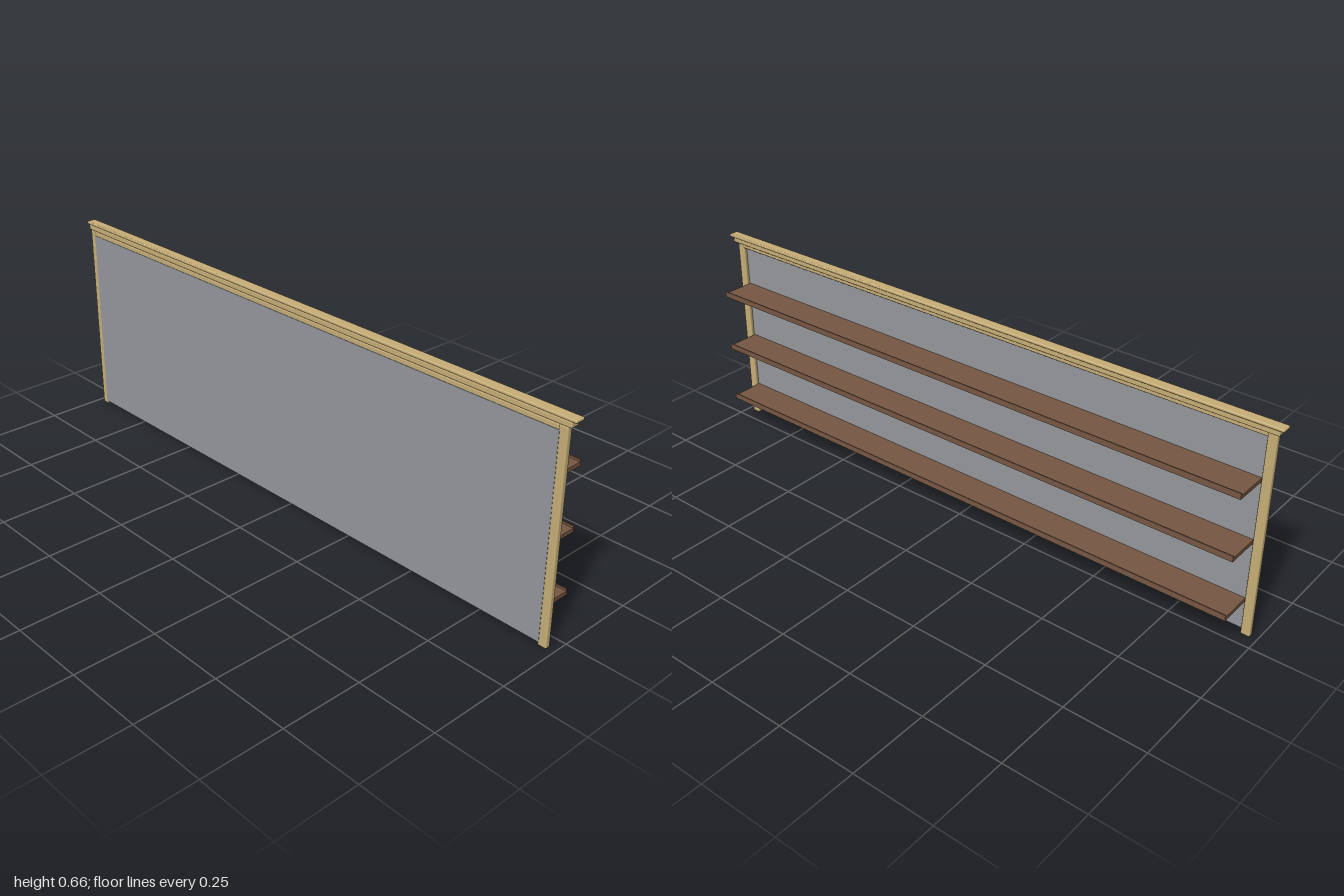
import * as THREE from 'three';
import { RoundedBoxGeometry } from 'three/addons/geometries/RoundedBoxGeometry.js';

const wood = new THREE.MeshStandardMaterial({ color: 0xc8af78 });
const brown = new THREE.MeshStandardMaterial({ color: 0x775743 });
const grey = new THREE.MeshStandardMaterial({ color: 0x95989d });

// Box given by its limits on each axis; radius > 0 rounds the edges
function block(name, material, [x0, x1], [y0, y1], [z0, z1], radius = 0) {
  const size = [x1 - x0, y1 - y0, z1 - z0];
  const geometry = radius
    ? new RoundedBoxGeometry(...size, 3, radius)
    : new THREE.BoxGeometry(...size);
  const mesh = new THREE.Mesh(geometry, material);
  mesh.name = name;
  mesh.position.set((x0 + x1) / 2, (y0 + y1) / 2, (z0 + z1) / 2);
  return mesh;
}

// Wall plate and diagonal strut under a shelf whose underside is at y = 0
function createBracket() {
  const bracket = new THREE.Group();
  bracket.name = 'bracket';
  bracket.add(block('bracketPlate', brown, [-0.051, -0.042], [-0.056, 0], [-0.005, 0.005]));
  const from = new THREE.Vector2(-0.046, -0.05);
  const to = new THREE.Vector2(0.031, -0.003);
  const length = from.distanceTo(to);
  const strut = block('bracketStrut', brown, [0, length], [0, 0.007], [-0.004, 0.004]);
  strut.position.set((from.x + to.x) / 2, (from.y + to.y) / 2, 0);
  strut.rotation.z = Math.atan2(to.y - from.y, to.x - from.x);
  bracket.add(strut);
  return bracket;
}

// Board with a raised front lip, carried by four brackets
function createShelf() {
  const shelf = new THREE.Group();
  shelf.name = 'shelf';
  shelf.add(block('shelfBoard', brown, [-0.052, 0.057], [0, 0.012], [-0.948, 0.948]));
  shelf.add(block('shelfLip', brown, [0.0535, 0.057], [0.012, 0.0185], [-0.948, 0.948]));
  for (let i = 0; i < 4; i++) {
    const bracket = createBracket();
    bracket.position.z = -0.852 + i * 0.568;
    shelf.add(bracket);
  }
  return shelf;
}

export function createModel() {
  const model = new THREE.Group();
  model.name = 'wallShelf';

  // Back panel
  model.add(block('backPanel', grey, [-0.058, -0.051], [0.011, 0.622], [-0.955, 0.955]));

  // Side posts
  for (const side of [-1, 1]) {
    const z = [0.951 * side, 0.979 * side].sort((a, b) => a - b);
    model.add(block('sidePost', wood, [-0.057, -0.04], [0, 0.637], z, 0.004));
  }

  // Top rail and two-step cornice
  model.add(block('topRail', wood, [-0.057, -0.04], [0.619, 0.637], [-0.955, 0.955], 0.004));
  model.add(block('corniceLower', wood, [-0.057, -0.029], [0.636, 0.654], [-0.988, 0.988], 0.004));
  model.add(block('corniceCap', wood, [-0.057, -0.025], [0.653, 0.662], [-1, 1], 0.003));

  // Shelves
  for (let i = 0; i < 3; i++) {
    const shelf = createShelf();
    shelf.position.y = 0.1 + i * 0.19;
    model.add(shelf);
  }
  return model;
}
